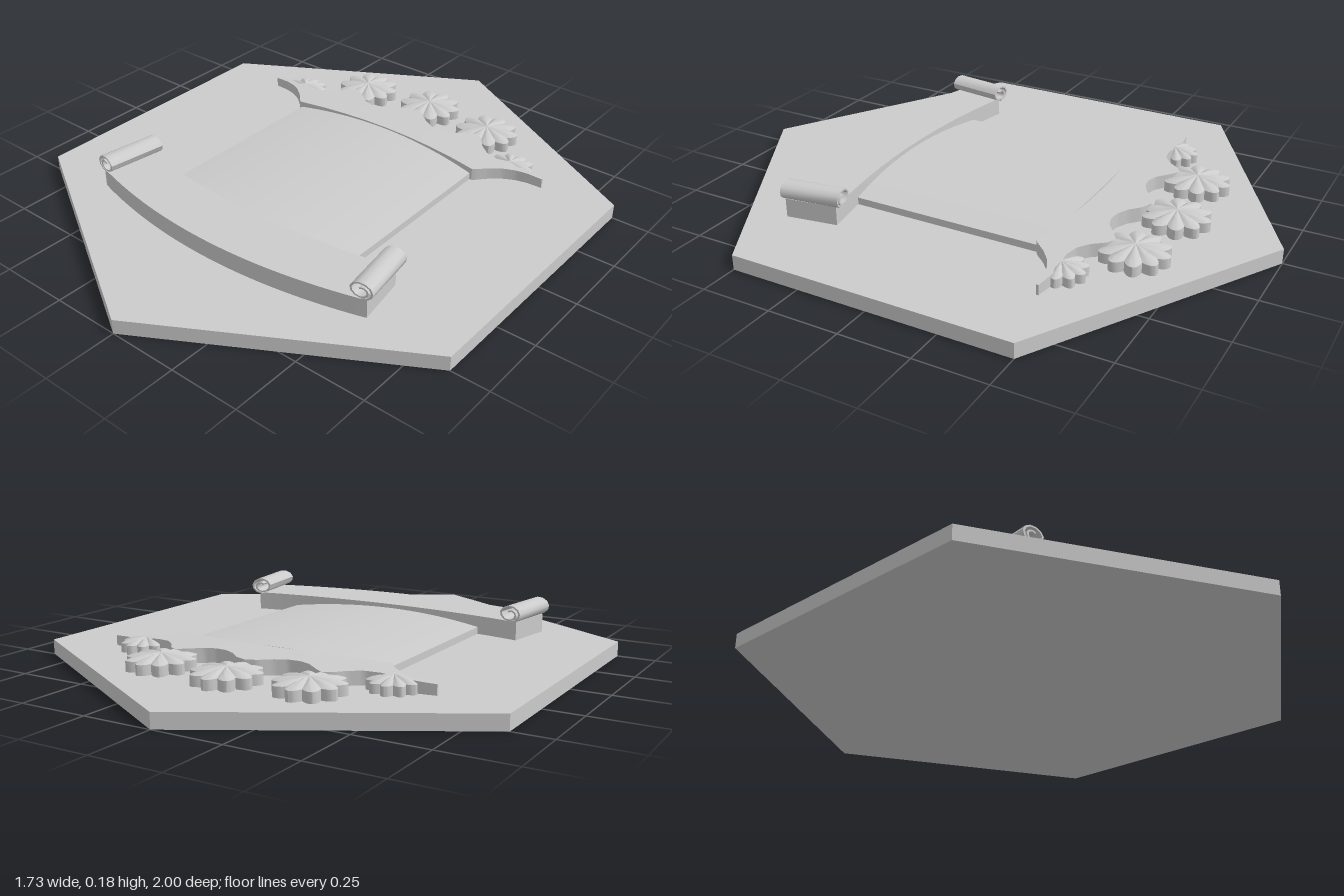
import * as THREE from 'three';
import { toCreasedNormals } from 'three/addons/utils/BufferGeometryUtils.js';

const BASE_TOP = 0.052;
const material = new THREE.MeshStandardMaterial({ color: 0xcccccc });

function part(name, geometry, crease = 0.6) {
  const mesh = new THREE.Mesh(toCreasedNormals(geometry, crease), material);
  mesh.name = name;
  return mesh;
}

// Straight-line interpolation through [x, z] pairs, mirrored about x = 0
function profile(points) {
  return (x) => {
    const ax = Math.abs(x);
    const i = Math.max(1, points.findIndex((p) => p[0] >= ax - 1e-6));
    const [x0, z0] = points[i - 1], [x1, z1] = points[i];
    return z0 + (z1 - z0) * (ax - x0) / (x1 - x0);
  };
}

// Relief slab swept along x between a back edge, a front edge and a top height
function slab(halfWidth, steps, back, front, top, flare = 0) {
  const pos = [], idx = [];
  for (let i = 0; i <= steps; i++) {
    const x = halfWidth * (2 * i / steps - 1);
    const xb = x * (1 - flare), y = top(x), y0 = BASE_TOP - 0.01;
    pos.push(xb, y0, back(x), xb, y, back(x), x, y, front(x), x, y0, front(x));
    if (i === steps) break;
    for (let k = 0; k < 4; k++) {
      const a = i * 4 + k, b = i * 4 + (k + 1) % 4;
      idx.push(a, b, b + 4, a, b + 4, a + 4);
    }
  }
  const e = steps * 4;
  idx.push(0, 2, 1, 0, 3, 2, e, e + 1, e + 2, e, e + 2, e + 3);
  const geometry = new THREE.BufferGeometry();
  geometry.setAttribute('position', new THREE.Float32BufferAttribute(pos, 3));
  geometry.setIndex(idx);
  return geometry;
}

// Domed ten-petal flower, whole or as an arc
function flower(radius, start = 0, arc = Math.PI * 2) {
  const points = [[1, 0.045], [1, 0.087], [0.8, 0.095], [0.5, 0.101], [0.2, 0.104], [0, 0.105]]
    .map(([r, y]) => new THREE.Vector2(r, y));
  const geometry = new THREE.LatheGeometry(points, Math.round(80 * arc / (Math.PI * 2)), start, arc);
  const p = geometry.attributes.position;
  for (let i = 0; i < p.count; i++) {
    const x = p.getX(i), z = p.getZ(i), r = Math.hypot(x, z);
    const petal = Math.abs(Math.cos(5 * Math.atan2(x, z)));
    const scale = radius * (1 - 0.25 * (1 - petal) * r);
    const groove = p.getY(i) > 0.06 ? 0.006 * (1 - petal) * r * (1 - r) * 4 : 0;
    p.setXYZ(i, x * scale, p.getY(i) - groove, z * scale);
  }
  return geometry;
}

// Rolled ribbon end: a thick spiral extruded along its axis
function scroll(side) {
  const outer = [], inner = [], steps = 18;
  for (let i = 0; i <= steps; i++) {
    const turn = 1.6 * i / steps;
    const angle = -Math.PI / 2 + turn * Math.PI * 2;
    const r = 1 - 0.6 * Math.max(0, (turn - 0.7) / 0.9);
    const at = (q) => new THREE.Vector2(side * 0.041 * q * Math.cos(angle), 0.031 * q * Math.sin(angle));
    outer.push(at(r));
    inner.unshift(at(r - 0.18));
  }
  const length = 0.212;
  const geometry = new THREE.ExtrudeGeometry(new THREE.Shape([...outer, ...inner]),
    { depth: length, bevelEnabled: false });
  return geometry.translate(0, 0, -length / 2);
}

export function createModel() {
  const model = new THREE.Group();
  model.name = 'hexagonalReliefPlaque';

  // Hexagonal base
  const base = part('hexagonBase', new THREE.CylinderGeometry(1, 1, BASE_TOP, 6), 0.3);
  base.position.y = BASE_TOP / 2;
  model.add(base);

  // Gently arched centre panel
  model.add(part('panel', slab(0.39, 32,
    (x) => -0.357 + 0.2 * x * x,
    () => 0.41,
    (x) => 0.103 - 0.17 * x * x)));

  // Crown band with wavy rear edge and pointed tips
  const crownBack = profile([[0, -0.55], [0.04, -0.535], [0.08, -0.5], [0.12, -0.48], [0.16, -0.475],
    [0.2, -0.487], [0.25, -0.525], [0.28, -0.545], [0.31, -0.525], [0.34, -0.485], [0.38, -0.455],
    [0.43, -0.445], [0.53, -0.458], [0.575, -0.452], [0.616, -0.446]]);
  const crownFront = profile([[0, -0.363], [0.1, -0.361], [0.2, -0.354], [0.3, -0.343], [0.4, -0.327],
    [0.44, -0.372], [0.48, -0.405], [0.52, -0.425], [0.56, -0.435], [0.616, -0.438]]);
  model.add(part('crownBand', slab(0.616, 124, crownBack, crownFront, (x) => 0.104 - 0.045 * x * x)));

  // Crown flowers
  for (const [x, z] of [[-0.28, -0.61], [0, -0.64], [0.28, -0.61]]) {
    const bloom = part('crownFlower', flower(0.117), 0.5);
    bloom.position.set(x, 0, z);
    model.add(bloom);
  }

  // Half flowers at the crown ends, and the ribbon scrolls
  for (const side of [-1, 1]) {
    const half = part('crownHalfFlower', flower(0.085, Math.PI / 2, Math.PI), 0.5);
    half.position.set(side * 0.477, -0.004, -0.452);
    half.rotation.y = -side * 0.12;
    model.add(half);

    const roll = part('ribbonScroll', scroll(side), 0.8);
    roll.position.set(side * 0.545, 0.148, 0.418);
    roll.rotation.y = side * 0.14;
    model.add(roll);
  }

  // Curved ribbon
  model.add(part('ribbon', slab(0.577, 40,
    (x) => 0.388 - 0.17 * x * x,
    (x) => 0.6 - 0.255 * x * x,
    () => 0.118, 0.05)));

  return model;
}
